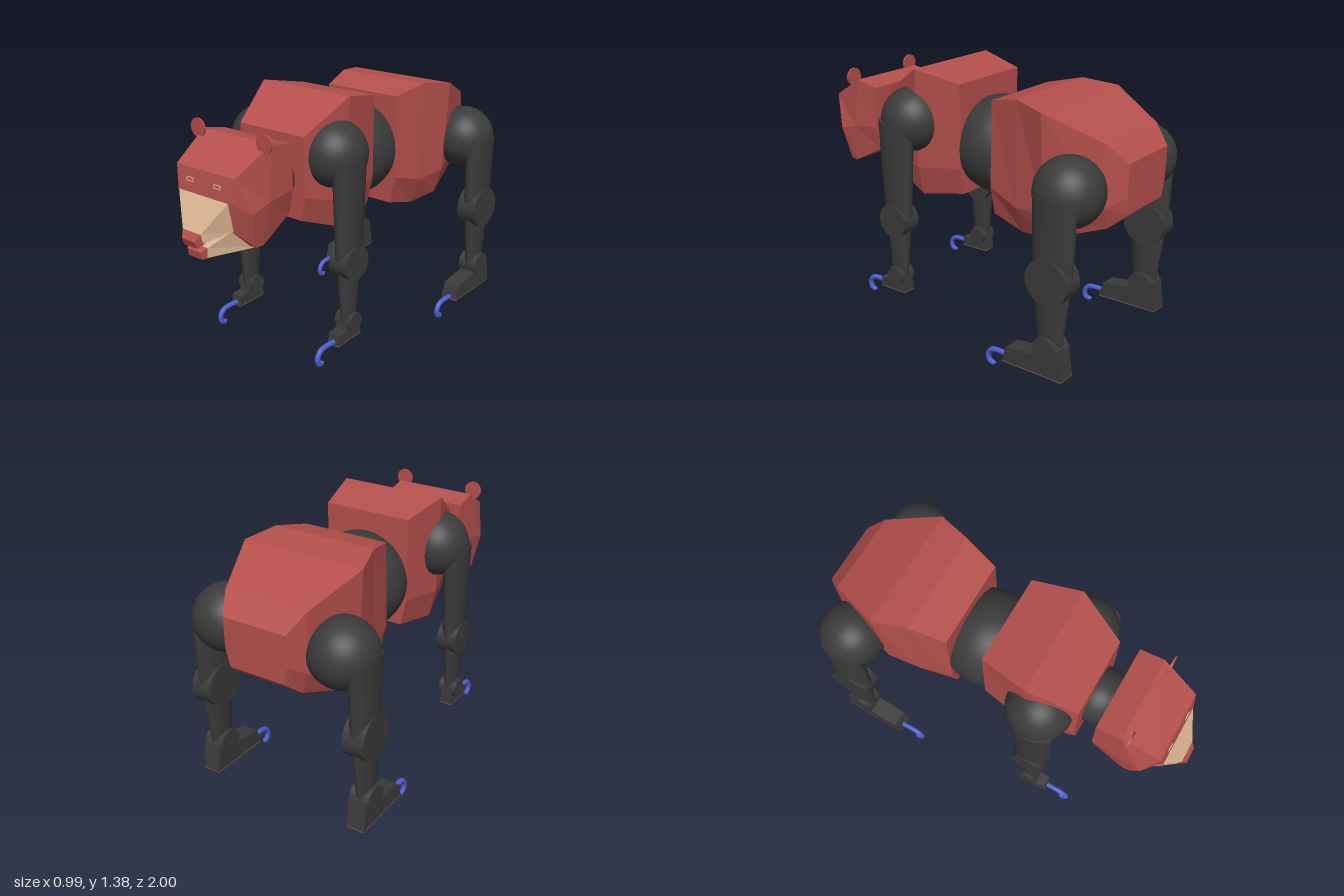
import * as THREE from 'three';

const mat = (name, color) => {
  const m = new THREE.MeshStandardMaterial({ color });
  m.name = name;
  return m;
};

export function createModel() {
  const red = mat('red shell', 0xb5504c);
  const dark = mat('dark joint', 0x3b3b3b);
  const tan = mat('tan muzzle', 0xdeb894);
  const blue = mat('blue claw', 0x4f5fd0);
  const brown = mat('brown sole', 0x9c6b50);
  const root = new THREE.Group();

  const add = (name, geo, material, x = 0, y = 0, z = 0) => {
    const mesh = new THREE.Mesh(geo, material);
    mesh.name = name;
    mesh.position.set(x, y, z);
    root.add(mesh);
    return mesh;
  };

  // Faceted hull through rings ordered back to front; each ring lists its +x half, top to bottom
  const loft = (halves) => {
    const rings = halves.map((h) => [...h, ...[...h].reverse().map(([x, y, z]) => [-x, y, z])]);
    const n = rings[0].length;
    const pos = [];
    const tri = (...pts) => pts.forEach((p) => pos.push(...p));
    for (let i = 0; i < rings.length - 1; i++) {
      for (let j = 0; j < n; j++) {
        const k = (j + 1) % n;
        const a = rings[i][j], b = rings[i][k], c = rings[i + 1][k], d = rings[i + 1][j];
        tri(a, d, b);
        tri(d, c, b);
      }
    }
    const first = rings[0], last = rings[rings.length - 1];
    for (let j = 1; j < n - 1; j++) {
      tri(first[0], first[j], first[j + 1]);
      tri(last[0], last[j + 1], last[j]);
    }
    const g = new THREE.BufferGeometry();
    g.setAttribute('position', new THREE.Float32BufferAttribute(pos, 3));
    g.computeVertexNormals();
    return g;
  };
  // Body ring: z, then half-width and height of the top, middle and bottom corners
  const ring = (z, tw, ty, mw, my, bw, by) => [[tw, ty, z], [mw, my, z], [bw, by, z]];

  // Body shells
  add('hindBody', loft([
    ring(-1.0, 0.17, 1.12, 0.17, 0.96, 0.15, 0.87),
    ring(-0.91, 0.22, 1.205, 0.22, 0.9, 0.18, 0.79),
    ring(-0.625, 0.327, 1.32, 0.295, 0.82, 0.25, 0.68),
    ring(-0.45, 0.275, 1.34, 0.27, 0.8, 0.212, 0.655),
    ring(-0.265, 0.23, 1.295, 0.235, 0.85, 0.2, 0.7),
  ]), red);
  add('chest', loft([
    ring(-0.065, 0.235, 1.34, 0.235, 0.9, 0.2, 0.755),
    ring(0.19, 0.285, 1.388, 0.27, 0.86, 0.235, 0.705),
    ring(0.44, 0.21, 1.225, 0.22, 0.92, 0.19, 0.8),
  ]), red);

  // Joints between the shells
  add('waist', new THREE.SphereGeometry(0.255, 36, 24), dark, 0, 1.0, -0.16);
  add('neck', new THREE.SphereGeometry(0.15, 32, 20), dark, 0, 1.005, 0.455);

  // Head
  add('head', loft([
    [[0.225, 1.22, 0.54], [0.23, 1.0, 0.54], [0.2, 0.87, 0.54]],
    [[0.225, 1.245, 0.67], [0.235, 0.98, 0.7], [0.21, 0.77, 0.725]],
    [[0.19, 1.125, 0.875], [0.235, 0.95, 0.81], [0.205, 0.77, 0.77]],
    [[0.165, 1.012, 0.895], [0.15, 0.86, 0.86], [0.14, 0.78, 0.79]],
  ]), red);
  add('upperMuzzle', loft([
    [[0.165, 1.014, 0.893], [0.155, 0.865, 0.86]],
    [[0.06, 0.86, 0.973], [0.065, 0.815, 0.962]],
  ]), tan);
  add('nose', loft([
    [[0.06, 0.861, 0.972], [0.065, 0.812, 0.95]],
    [[0.042, 0.825, 0.997], [0.045, 0.79, 0.982]],
  ]), red);
  add('lowerJaw', loft([
    [[0.155, 0.872, 0.855], [0.205, 0.769, 0.74]],
    [[0.065, 0.785, 0.938], [0.06, 0.735, 0.935]],
  ]), tan);
  add('lowerLip', loft([
    [[0.066, 0.787, 0.935], [0.061, 0.733, 0.925]],
    [[0.045, 0.766, 0.965], [0.045, 0.728, 0.958]],
  ]), red);

  // Thin eye frames lying on the sloping brow
  const frame = new THREE.Shape([[-0.022, -0.01], [0.022, -0.01], [0.022, 0.01], [-0.022, 0.01]]
    .map((p) => new THREE.Vector2(...p)));
  frame.holes.push(new THREE.Path([[-0.018, -0.0065], [-0.018, 0.0065], [0.018, 0.0065], [0.018, -0.0065]]
    .map((p) => new THREE.Vector2(...p))));
  const eyeGeo = new THREE.ExtrudeGeometry(frame, { depth: 0.003, bevelEnabled: false });

  // Side-profile slab: points are [z, y], width runs along x
  const slab = (pts, width) => {
    const shape = new THREE.Shape(pts.map((p) => new THREE.Vector2(...p)));
    return new THREE.ExtrudeGeometry(shape, { depth: width, bevelEnabled: false })
      .translate(0, 0, -width / 2).rotateY(-Math.PI / 2);
  };
  const disc = (r, width) => new THREE.CylinderGeometry(r, r, width, 32).rotateZ(Math.PI / 2);
  // Upright tapered limb, flattened across x
  const limb = (rt, rb, h, halfWidth) => new THREE.CylinderGeometry(rt, rb, h, 28).scale(halfWidth / rt, 1, 1);

  const legs = [
    {
      name: 'front', x: 0.348, z: 0.268, hip: [0.235, 1.11, 0.248], upper: [0.112, 0.086, 0.062],
      knee: [0.575, 0.09, 0.108], lower: [0.08, 0.05, 0.047], ankle: [0.25, 0.05, 0.098],
      foot: [[0.21, 0.165], [0.39, 0.155], [0.38, 0.21], [0.325, 0.215], [0.31, 0.29], [0.215, 0.25]],
      footWidth: 0.068, claw: [0.37, 0.168],
    },
    {
      name: 'hind', x: 0.438, z: -0.79, hip: [0.325, 0.985, -0.79], upper: [0.118, 0.108, 0.056],
      knee: [0.59, 0.115, 0.112], lower: [0.104, 0.065, 0.052], ankle: [0.235, 0.068, 0.108],
      foot: [[-0.89, 0.105], [-0.54, 0.09], [-0.565, 0.17], [-0.725, 0.195], [-0.75, 0.28], [-0.865, 0.26]],
      footWidth: 0.095, claw: [-0.56, 0.1],
    },
  ];

  for (const s of [-1, 1]) {
    add('ear', new THREE.CylinderGeometry(0.047, 0.047, 0.01, 28).rotateX(Math.PI / 2), red, s * 0.217, 1.255, 0.71);
    add('eyeFrame', eyeGeo, tan, s * 0.09, 1.07, 0.8855).rotation.x = -0.18;

    for (const l of legs) {
      const x = s * l.x;
      const [hx, hy, hz] = l.hip;
      const [ky, kr, kw] = l.knee;
      const [ay, ar, aw] = l.ankle;
      add(l.name + 'Shoulder', new THREE.SphereGeometry(0.17, 36, 24), dark, s * hx, hy, hz);
      const [ut, ub, uw] = l.upper;
      add(l.name + 'UpperLeg', limb(ut, ub, hy - ky, uw), dark, x, (hy + ky) / 2, l.z);
      add(l.name + 'Knee', disc(kr, kw), dark, x, ky, l.z);
      const [lt, lb, lw] = l.lower;
      add(l.name + 'LowerLeg', limb(lt, lb, ky - ay, lw), dark, x, (ky + ay) / 2, l.z);
      add(l.name + 'Ankle', disc(ar, aw), dark, x, ay, l.z);
      add(l.name + 'Foot', slab(l.foot, l.footWidth), dark, x);

      // Sole plate following the underside of the foot
      const [[z0, y0], [z1, y1]] = l.foot;
      add(l.name + 'Sole', slab([[z0, y0 - 0.004], [z1, y1 - 0.004], [z1, y1], [z0, y0]], l.footWidth), brown, x);

      // Hooked claw
      const [cz, cy] = l.claw;
      const path = new THREE.CatmullRomCurve3([[0, 0], [0.08, 0], [0.115, -0.008], [0.137, -0.035],
        [0.138, -0.06], [0.128, -0.078], [0.108, -0.08]]
        .map(([dz, dy]) => new THREE.Vector3(0, cy + dy, cz + dz)));
      add(l.name + 'Claw', new THREE.TubeGeometry(path, 28, 0.014, 10), blue, x);
      add(l.name + 'ClawTip', new THREE.ConeGeometry(0.014, 0.022, 10).rotateX(-Math.PI / 2 + 0.3), blue,
        x, cy - 0.078, cz + 0.099);
    }
  }
  return root;
}
